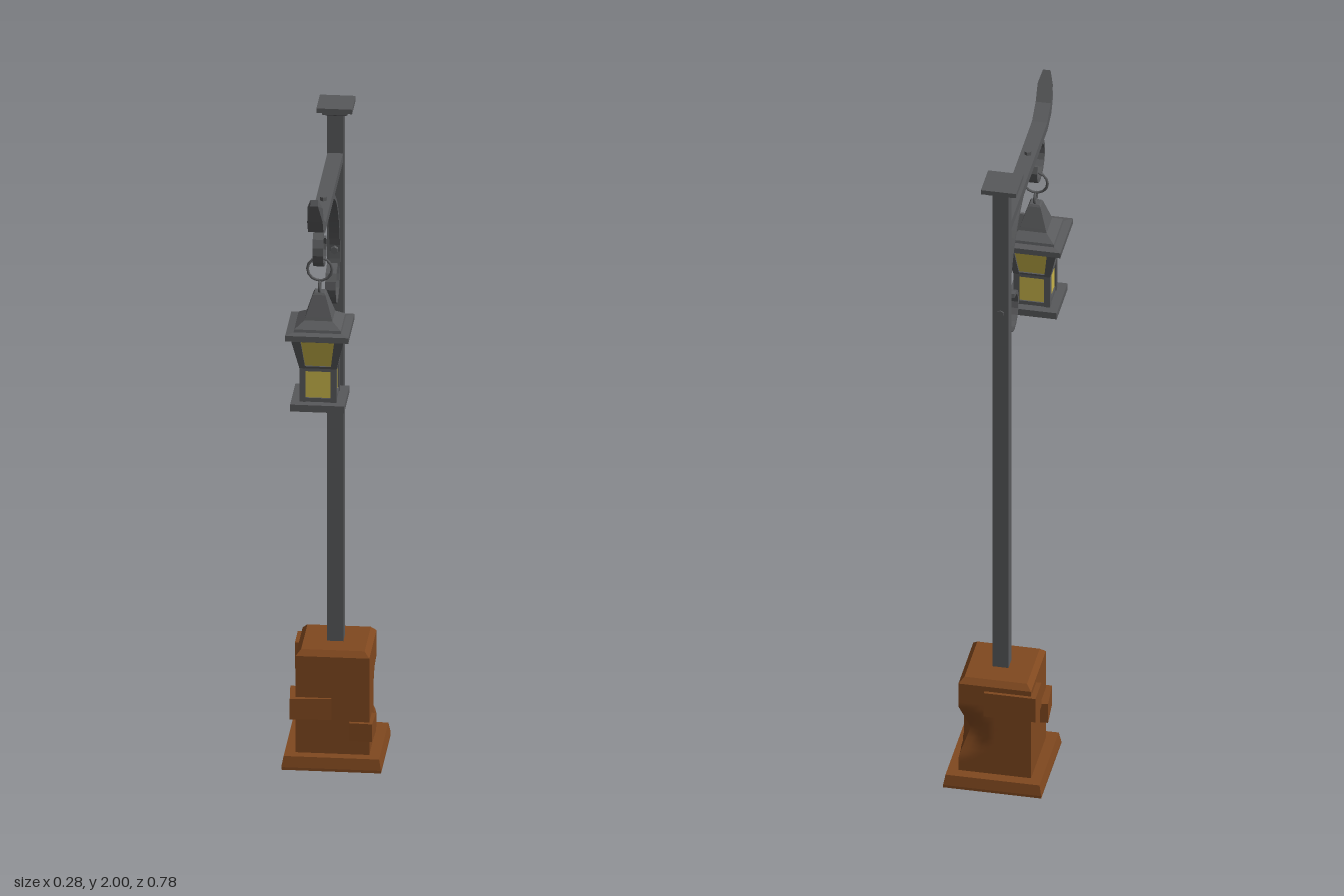
import * as THREE from 'three';
import { toCreasedNormals } from 'three/addons/utils/BufferGeometryUtils.js';

const POLE_Z = -0.245, LAMP_Z = 0.227;

// Stack of rectangles [y, x0, x1, z0, z1] from bottom to top, closed at both ends
function loft(levels) {
  const rings = levels.map(([y, x0, x1, z0, z1]) => [[x0, y, z0], [x0, y, z1], [x1, y, z1], [x1, y, z0]]);
  const pos = [];
  const quad = (a, b, c, d) => pos.push(...a, ...b, ...c, ...a, ...c, ...d);
  for (let i = 0; i < rings.length - 1; i++) {
    const lo = rings[i], hi = rings[i + 1];
    for (let k = 0; k < 4; k++) quad(lo[k], lo[(k + 1) % 4], hi[(k + 1) % 4], hi[k]);
  }
  const bottom = rings[0], top = rings[rings.length - 1];
  quad(bottom[3], bottom[2], bottom[1], bottom[0]);
  quad(top[0], top[1], top[2], top[3]);
  const g = new THREE.BufferGeometry();
  g.setAttribute('position', new THREE.Float32BufferAttribute(pos, 3));
  g.computeVertexNormals();
  return g;
}

// Square stack from [halfWidth, y] pairs
const squareLoft = (profile) => loft(profile.map(([h, y]) => [y, -h, h, -h, h]));

// Side outline of [z, y] points, given a width across x
function sideExtrude(points, width) {
  const shape = new THREE.Shape(points.map(([z, y]) => new THREE.Vector2(z, y)));
  const g = new THREE.ExtrudeGeometry(shape, { depth: width, bevelEnabled: false });
  return g.translate(0, 0, -width / 2).rotateY(-Math.PI / 2);
}

export function createModel() {
  const iron = new THREE.MeshStandardMaterial({ name: 'iron', color: 0x58595b });
  const stone = new THREE.MeshStandardMaterial({ name: 'brownStone', color: 0x80481f });
  const glass = new THREE.MeshStandardMaterial({ name: 'amberGlass', color: 0xc8b44a });
  const model = new THREE.Group();
  model.name = 'streetLamp';

  const add = (parent, name, geometry, material, x = 0, y = 0, z = 0) => {
    const mesh = new THREE.Mesh(geometry, material);
    mesh.name = name;
    mesh.position.set(x, y, z);
    parent.add(mesh);
    return mesh;
  };

  // Plinth foot
  const plinth = new THREE.Group();
  plinth.name = 'plinth';
  model.add(plinth);
  add(plinth, 'plinthFoot', squareLoft([[0.142, 0], [0.142, 0.008], [0.136, 0.04]]), stone, 0, 0, POLE_Z - 0.005 + 0.005);

  // Plinth block with rounded top edge and a worn rear corner
  const block = new THREE.BoxGeometry(0.21, 0.32, 0.21, 10, 20, 10);
  const p = block.attributes.position, v = new THREE.Vector3();
  const dent = new THREE.Vector3(0.105, -0.02, -0.105);
  for (let i = 0; i < p.count; i++) {
    v.fromBufferAttribute(p, i);
    const push = 0.03 * Math.max(0, 1 - v.distanceTo(dent) / 0.085);
    v.x -= push;
    v.z += push;
    if (v.y > 0.159) { v.x *= 0.86; v.z *= 0.86; }
    p.setXYZ(i, v.x, v.y, v.z);
  }
  add(plinth, 'plinthBlock', toCreasedNormals(block, 0.6), stone, 0, 0.192, POLE_Z);

  // Raised bricks wrapping the corners: x, y, z, width, height, depth, turn
  [
    [-0.065, 0.178, -0.177, 0.118, 0.064, 0.095, 0.08],
    [0.083, 0.113, -0.17, 0.066, 0.054, 0.085, -0.04],
    [-0.045, 0.28, -0.318, 0.15, 0.08, 0.084, 0],
  ].forEach(([x, y, z, w, h, d, turn]) => {
    add(plinth, 'raisedBrick', new THREE.BoxGeometry(w, h, d), stone, x, y, z).rotation.y = turn;
  });

  // Pole and cap
  add(model, 'pole', new THREE.BoxGeometry(0.046, 1.65, 0.046), iron, 0, 1.165, POLE_Z);
  add(model, 'poleCap', squareLoft([[0.024, 1.968], [0.036, 1.975], [0.036, 1.983], [0.051, 1.986], [0.051, 2]]),
    iron, 0, 0, POLE_Z);

  // Arm with an upturned, narrowing tip
  const armGeo = sideExtrude([
    [-0.23, 1.825], [0.29, 1.825], [0.344, 1.847], [0.37, 1.89], [0.393, 1.947],
    [0.386, 1.964], [0.365, 1.93], [0.337, 1.885], [0.285, 1.853], [-0.23, 1.853],
  ], 0.044);
  const ap = armGeo.attributes.position;
  for (let i = 0; i < ap.count; i++) if (ap.getZ(i) > 0.38) ap.setX(i, ap.getX(i) * 0.5);
  armGeo.computeVertexNormals();
  add(model, 'arm', armGeo, iron);

  // Scrolled flat-bar bracket
  const path = new THREE.CatmullRomCurve3([
    [0.187, 1.768], [0.18, 1.738], [0.201, 1.708], [0.243, 1.706], [0.28, 1.738], [0.28, 1.783],
    [0.245, 1.814], [0.13, 1.824], [0.015, 1.815], [-0.09, 1.767], [-0.164, 1.693], [-0.206, 1.603],
    [-0.212, 1.54], [-0.19, 1.465], [-0.143, 1.434], [-0.1, 1.455], [-0.087, 1.497], [-0.106, 1.534], [-0.143, 1.543],
  ].map(([z, y]) => new THREE.Vector3(z, y, 0)));
  const left = [], right = [], steps = 54;
  for (let i = 0; i <= steps; i++) {
    const c = path.getPointAt(i / steps), t = path.getTangentAt(i / steps);
    left.push([c.x - t.y * 0.006, c.y + t.x * 0.006]);
    right.push([c.x + t.y * 0.006, c.y - t.x * 0.006]);
  }
  add(model, 'scrollBracket', sideExtrude([...left, ...right.reverse()], 0.03), iron);

  // Hexagonal bolts through arm and pole
  const bolt = (length) => new THREE.CylinderGeometry(0.011, 0.011, length, 6).toNonIndexed();
  const boltShape = (length) => { const g = bolt(length); g.computeVertexNormals(); return g; };
  add(model, 'armBolt', boltShape(0.048), iron, 0, 1.84, 0.121);
  add(model, 'poleBolt', boltShape(0.08).rotateX(Math.PI / 2), iron, 0, 1.565, -0.232);

  // Lantern
  const lantern = new THREE.Group();
  lantern.name = 'lantern';
  lantern.position.z = LAMP_Z;
  model.add(lantern);
  add(lantern, 'hangingRing', new THREE.TorusGeometry(0.035, 0.004, 6, 14), iron, 0, 1.685, 0);
  add(lantern, 'roofRing', new THREE.TorusGeometry(0.016, 0.004, 6, 12).rotateY(Math.PI / 2), iron, 0, 1.632, 0);
  add(lantern, 'roof', squareLoft([
    [0.09, 1.496], [0.09, 1.513], [0.068, 1.516], [0.066, 1.524], [0.04, 1.542], [0.037, 1.552], [0.018, 1.612], [0.014, 1.618],
  ]), iron);
  add(lantern, 'lanternFloor', squareLoft([[0.077, 1.276], [0.077, 1.297]]), iron);
  add(lantern, 'glassPanes', squareLoft([[0.047, 1.297], [0.047, 1.4], [0.069, 1.496]]), glass);

  // Corner posts, flared above the middle rail
  for (const sx of [-1, 1]) for (const sz of [-1, 1]) {
    const span = (s, inner, outer) => (s > 0 ? [inner, outer] : [-outer, -inner]);
    const level = (y, inner, outer) => [y, ...span(sx, inner, outer), ...span(sz, inner, outer)];
    add(lantern, 'cornerPost', loft([level(1.295, 0.036, 0.053), level(1.4, 0.036, 0.053), level(1.498, 0.049, 0.076)]), iron);
  }
  // Rails around the panes
  add(lantern, 'bottomRail', squareLoft([[0.051, 1.296], [0.051, 1.309]]), iron);
  add(lantern, 'middleRail', squareLoft([[0.052, 1.391], [0.052, 1.4], [0.054, 1.407]]), iron);
  add(lantern, 'topRail', squareLoft([[0.072, 1.488], [0.074, 1.498]]), iron);

  return model;
}
